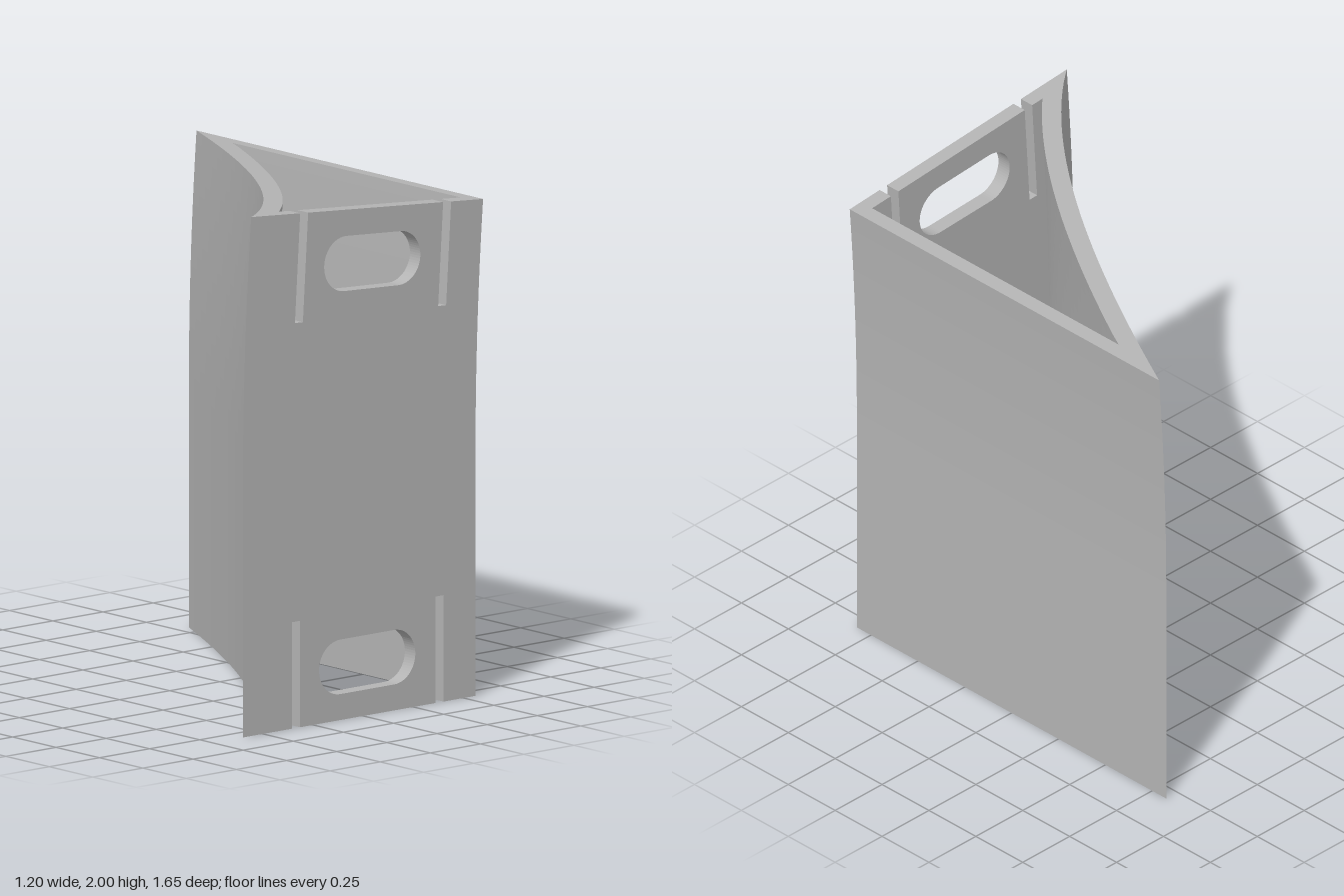
import * as THREE from 'three';

const LENGTH = 1.955;      // length along the centre line
const STRAIGHT = 0.93;     // straight part below the bend
const RADIUS = 13.2;       // bend radius
const STEPS = 40;
const FRONT = 0.825, INNER_FRONT = 0.765, BACK = -0.825;
const LEFT = 0.56, RIGHT = -0.6;          // outer corners in x
const INNER_LEFT = 0.5, INNER_RIGHT = -0.41;
const CURVED_WALL = 0.073;

// Bends the upper part of a geometry about the z axis
function bend(geometry) {
  const p = geometry.attributes.position;
  const cx = -0.02 + RADIUS;
  for (let i = 0; i < p.count; i++) {
    const y = p.getY(i);
    if (y <= STRAIGHT) continue;
    const a = (y - STRAIGHT) / RADIUS, r = cx - p.getX(i);
    p.setXY(i, cx - r * Math.cos(a), STRAIGHT + r * Math.sin(a));
  }
  geometry.computeVertexNormals();
  return geometry;
}

// Curved side wall and straight side wall, as one plan section swept upward
function wallsGeometry() {
  const curve = new THREE.QuadraticBezierCurve(
    new THREE.Vector2(RIGHT, FRONT),
    new THREE.Vector2(-0.07, 0.45),
    new THREE.Vector2(LEFT, BACK));
  const outer = curve.getPoints(32);
  const inner = [];
  for (let i = 0; i <= 32; i++) {
    const t = curve.getTangent(i / 32), q = curve.getPoint(i / 32);
    q.x -= t.y * CURVED_WALL;
    q.y += t.x * CURVED_WALL;
    if (q.x > INNER_RIGHT + 0.01 && q.x < INNER_LEFT - 0.01 && q.y < INNER_FRONT - 0.01) inner.push(q);
  }
  const section = [
    ...outer,
    new THREE.Vector2(LEFT, FRONT),
    new THREE.Vector2(INNER_LEFT, FRONT),
    new THREE.Vector2(INNER_LEFT, INNER_FRONT),
    new THREE.Vector2(INNER_LEFT, -0.55),
    ...inner.reverse(),
    new THREE.Vector2(INNER_RIGHT, INNER_FRONT),
    new THREE.Vector2(INNER_RIGHT, FRONT),
  ].map((q) => new THREE.Vector2(q.x, -q.y));
  const g = new THREE.ExtrudeGeometry(new THREE.Shape(section), {
    depth: LENGTH, steps: STEPS, bevelEnabled: false,
  });
  g.rotateX(-Math.PI / 2);
  return bend(g);
}

// Rounded hand slot cut through the front panel
function ovalHole(x, y) {
  const r = 0.105, half = 0.135;
  const hole = new THREE.Path();
  hole.absarc(x + half, y, r, -Math.PI / 2, Math.PI / 2, false);
  hole.absarc(x - half, y, r, Math.PI / 2, Math.PI * 1.5, false);
  hole.closePath();
  return hole;
}

// Front panel with narrow slots open at both ends and two oval holes
function panelGeometry() {
  const depth = 0.41;
  const slots = [[-0.355, -0.315], [0.36, 0.4]];
  const pts = [];
  const add = (x, y) => pts.push(new THREE.Vector2(x, y));
  add(INNER_RIGHT, 0);
  for (const [a, b] of slots) {
    add(a, 0); add(a, depth); add(b, depth); add(b, 0);
  }
  for (let i = 0; i <= STEPS; i++) add(INNER_LEFT, LENGTH * i / STEPS);
  for (const [a, b] of [...slots].reverse()) {
    add(b, LENGTH); add(b, LENGTH - depth); add(a, LENGTH - depth); add(a, LENGTH);
  }
  for (let i = STEPS; i > 0; i--) add(INNER_RIGHT, LENGTH * i / STEPS);
  const shape = new THREE.Shape(pts);
  shape.holes.push(ovalHole(0.02, 0.205), ovalHole(0.02, LENGTH - 0.205));
  const g = new THREE.ExtrudeGeometry(shape, {
    depth: FRONT - INNER_FRONT, bevelEnabled: false, curveSegments: 16,
  });
  g.translate(0, 0, INNER_FRONT);
  return bend(g);
}

export function createModel() {
  const group = new THREE.Group();
  group.name = 'bentDuct';
  const grey = new THREE.MeshStandardMaterial({ color: 0xb4b4b4 });
  grey.name = 'grey';
  const walls = new THREE.Mesh(wallsGeometry(), grey);
  walls.name = 'sideWalls';
  const panel = new THREE.Mesh(panelGeometry(), grey);
  panel.name = 'frontPanel';
  group.add(walls, panel);
  return group;
}
